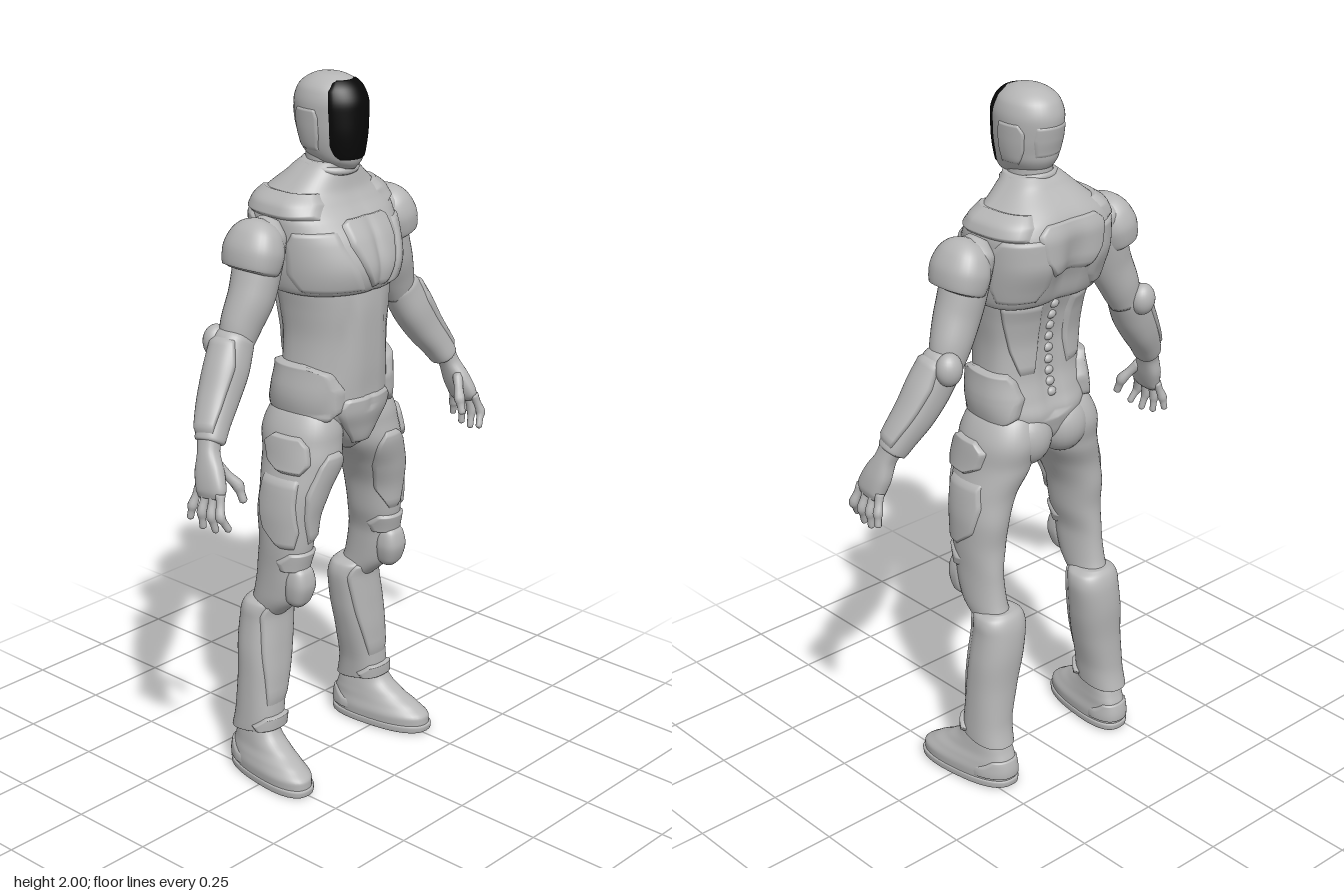
import * as THREE from 'three';

const armour = new THREE.MeshStandardMaterial({ color: 0xb6b6b6 });
armour.name = 'greyArmour';
const glass = new THREE.MeshStandardMaterial({ color: 0x080808 });
glass.name = 'blackVisor';

const rad = THREE.MathUtils.degToRad;
const bump = (v, w) => Math.exp(-(v * v) / (w * w));

// Smooth interpolation through the rows of a table without overshoot
function sample(rows, t) {
  const last = rows.length - 1;
  const i = Math.min(Math.floor(t), last - 1), f = t - i;
  const slope = (j, k) => {
    if (j === 0) return rows[1][k] - rows[0][k];
    if (j === last) return rows[last][k] - rows[last - 1][k];
    const a = rows[j][k] - rows[j - 1][k], b = rows[j + 1][k] - rows[j][k];
    return a * b <= 0 ? 0 : (2 * a * b) / (a + b);
  };
  return rows[0].map((_, k) => {
    const p = rows[i][k], q = rows[i + 1][k], f2 = f * f, f3 = f2 * f;
    return p * (2 * f3 - 3 * f2 + 1) + slope(i, k) * (f3 - 2 * f2 + f) + q * (3 * f2 - 2 * f3) + slope(i + 1, k) * (f3 - f2);
  });
}

// Surface through sections [x, y, z, half width, front depth, back depth], listed bottom to top.
// Angle 0 is the outer side (+x), 90 the front, 270 the back.
function surface(rows, { level = true, nf = 2, nb = 2, mod } = {}) {
  const S = (t, a) => {
    const [x, y, z, w, df, db] = sample(rows, t);
    const c = Math.cos(a), s = Math.sin(a), e = 2 / (s > 0 ? nf : nb);
    const u = w * Math.sign(c) * Math.abs(c) ** e;
    const v = (s > 0 ? df : db) * Math.sign(s) * Math.abs(s) ** e;
    const T = new THREE.Vector3(0, 1, 0);
    if (!level) {
      const p = sample(rows, Math.max(0, t - 0.3)), q = sample(rows, Math.min(rows.length - 1, t + 0.3));
      T.set(q[0] - p[0], q[1] - p[1], q[2] - p[2]).normalize();
    }
    const U = T.clone().cross(new THREE.Vector3(0, 0, 1)).normalize();
    const V = U.clone().cross(T);
    const P = new THREE.Vector3(x, y, z).addScaledVector(U, u).addScaledVector(V, v);
    if (mod) mod(P);
    return P;
  };
  S.top = rows.length - 1;
  return S;
}

function toGeometry(points, index) {
  const g = new THREE.BufferGeometry().setFromPoints(points);
  g.setIndex(index);
  g.computeVertexNormals();
  return g;
}

// Closed body over a whole surface
function body(S, sides = 40, steps = 6) {
  const rows = S.top * steps, pts = [], idx = [];
  for (let i = 0; i <= rows; i++)
    for (let j = 0; j < sides; j++) pts.push(S(i / steps, (j / sides) * Math.PI * 2));
  for (let i = 0; i < rows; i++)
    for (let j = 0; j < sides; j++) {
      const a = i * sides + j, b = i * sides + ((j + 1) % sides);
      idx.push(a, a + sides, b, a + sides, b + sides, b);
    }
  for (const [row, up] of [[0, false], [rows, true]]) {
    const c = new THREE.Vector3(), k = row * sides;
    for (let j = 0; j < sides; j++) c.addScaledVector(pts[k + j], 1 / sides);
    const n = pts.push(c) - 1;
    for (let j = 0; j < sides; j++) {
      const a = k + j, b = k + ((j + 1) % sides);
      up ? idx.push(a, n, b) : idx.push(a, b, n);
    }
  }
  return toGeometry(pts, idx);
}

// Raised plate following a surface; outline rows are [t, start angle, end angle]
function plate(S, rows, h, N = 22) {
  const pts = [], idx = [], d = 0.02;
  for (let i = 0; i <= N; i++)
    for (let j = 0; j <= N; j++) {
      const s = i / N, q = j / N, r = s * (rows.length - 1);
      const k = Math.min(Math.floor(r), rows.length - 2), f = r - k;
      const [t, a0, a1] = rows[k].map((v, m) => v + (rows[k + 1][m] - v) * f);
      const a = rad(a0 + (a1 - a0) * q);
      const up = S(Math.min(S.top, t + d), a).sub(S(Math.max(0, t - d), a));
      const n = up.cross(S(t, a + d).sub(S(t, a - d))).normalize();
      const edge = Math.min(1, Math.min(s, 1 - s, q, 1 - q) * 11);
      pts.push(S(t, a).addScaledVector(n, -0.003 + (h + 0.003) * edge));
    }
  for (let i = 0; i < N; i++)
    for (let j = 0; j < N; j++) {
      const a = i * (N + 1) + j, b = a + N + 1;
      idx.push(a, b, a + 1, b, b + 1, a + 1);
    }
  return toGeometry(pts, idx);
}

const ball = (x, y, z, rx, ry, rz) => new THREE.SphereGeometry(1, 24, 16).scale(rx, ry, rz).translate(x, y, z);

export function createModel() {
  const model = new THREE.Group();
  model.name = 'armouredFigure';
  const add = (name, geo, mat = armour) => {
    const m = new THREE.Mesh(geo, mat);
    m.name = name;
    model.add(m);
  };
  const pair = (name, geo) => {
    add(name + 'Left', geo);
    const g = geo.clone().scale(-1, 1, 1), ix = g.index.array;
    for (let i = 0; i < ix.length; i += 3) [ix[i], ix[i + 1]] = [ix[i + 1], ix[i]];
    add(name + 'Right', g);
  };

  // Abdomen and pelvis, with belly line and spine groove
  const waist = surface([
    [0, 0.965, 0.03, 0.02, 0.05, 0.05], [0, 1.0, 0.02, 0.06, 0.1, 0.1], [0, 1.05, 0.01, 0.115, 0.125, 0.12],
    [0, 1.1, 0, 0.155, 0.148, 0.12], [0, 1.15, 0, 0.162, 0.15, 0.105], [0, 1.22, 0, 0.153, 0.155, 0.09],
    [0, 1.3, 0, 0.148, 0.158, 0.088], [0, 1.38, 0, 0.155, 0.16, 0.1], [0, 1.46, 0, 0.165, 0.155, 0.125],
    [0, 1.52, 0, 0.16, 0.14, 0.13]], { nf: 2.1, nb: 2.5, mod: (p) => {
    if (p.y < 1.1) return;
    if (p.z > 0) p.z -= 0.005 * bump(p.x, 0.012) + 0.006 * bump(Math.abs(p.x) - 0.085 + (p.y - 1.3) * 0.2, 0.016);
    else p.z += 0.014 * bump(p.x, 0.025);
  } });
  add('abdomen', body(waist));
  pair('hipPad', plate(waist, [[2.6, 10, 40], [3.1, -45, 60], [4.2, -60, 62], [4.9, -50, 48], [5.2, -35, 15]], 0.02));
  add('pelvisPlate', plate(waist, [[0.7, 60, 120], [2, 52, 128], [3.2, 48, 132], [3.8, 62, 118]], 0.008));
  for (let i = 0; i < 9; i++) {
    const p = waist(4.1 + i * 0.42, rad(270));
    add('vertebra' + (i + 1), ball(0, p.y, p.z, 0.016, 0.013, 0.012));
  }
  pair('lowerBackPlate', plate(waist, [[5, -72, -55], [6, -78, -35], [7, -80, -25], [7.8, -78, -20]], 0.008));

  // Chest shell with pectoral and shoulder blade relief
  const chest = surface([
    [0, 1.425, 0, 0.15, 0.13, 0.1], [0, 1.44, 0, 0.18, 0.168, 0.13], [0, 1.5, 0, 0.193, 0.185, 0.158],
    [0, 1.57, 0, 0.198, 0.165, 0.182], [0, 1.625, 0, 0.2, 0.13, 0.182], [0, 1.665, -0.005, 0.19, 0.1, 0.165],
    [0, 1.7, -0.01, 0.145, 0.085, 0.135], [0, 1.745, -0.01, 0.095, 0.075, 0.085], [0, 1.77, 0, 0.068, 0.065, 0.07]],
  { nf: 2.1, nb: 3, mod: (p) => {
    const fade = bump(p.y - 1.53, 0.11);
    if (p.z > 0) p.z -= 0.012 * bump(p.x, 0.018) * fade;
    else p.z += 0.026 * bump(p.x, 0.04) * fade;
  } });
  add('chest', body(chest, 56));
  add('breastplate', plate(chest, [[1.15, 85, 95], [1.9, 75, 105], [3, 65, 115], [3.9, 64, 116], [4.2, 72, 108]], 0.009));
  pair('pectoralPlate', plate(chest, [[1.05, 18, 80], [1.9, 3, 72], [3, 5, 62], [3.7, 15, 60]], 0.006));
  pair('shoulderBladePlate', plate(chest, [[1.3, -68, -20], [2, -80, -8], [3.5, -80, -10], [4.4, -76, -25]], 0.006));
  add('upperBackPlate', plate(chest, [[2.3, 262, 278], [3.2, 246, 294], [4.6, 242, 298], [5.3, 252, 288]], 0.008));
  pair('shoulderYoke', plate(chest, [[4.3, -55, 50], [5.2, -62, 60], [6, -55, 50]], 0.009));

  // Neck and collar
  add('neck', body(surface([[0, 1.68, -0.01, 0.07, 0.08, 0.08], [0, 1.75, 0, 0.06, 0.06, 0.07], [0, 1.83, 0, 0.058, 0.05, 0.07]])));
  const collar = new THREE.TorusGeometry(0.068, 0.011, 10, 40).rotateX(Math.PI / 2 + 0.15).translate(0, 1.755, 0);
  add('collar', collar);

  // Helmet and visor
  const head = surface([
    [0, 1.752, 0.055, 0.022, 0.03, 0.04], [0, 1.775, 0.025, 0.056, 0.075, 0.085], [0, 1.82, 0, 0.077, 0.108, 0.086],
    [0, 1.87, 0, 0.084, 0.111, 0.097], [0, 1.92, 0, 0.086, 0.111, 0.104], [0, 1.96, 0, 0.077, 0.097, 0.092],
    [0, 1.985, 0, 0.054, 0.07, 0.064], [0, 1.997, 0, 0.028, 0.036, 0.034], [0, 2.0, 0, 0.006, 0.008, 0.008]]);
  add('helmet', body(head));
  add('visor', plate(head, [[1.05, 45, 135], [1.4, 30, 150], [2, 27, 153], [3, 28, 152], [4, 27, 153], [5, 27, 153],
    [5.8, 36, 144], [6.2, 55, 125]], 0.003, 35), glass);
  pair('earGuard', plate(head, [[1.5, -25, 12], [2.4, -38, 18], [3.4, -38, 18], [3.9, -25, 12]], 0.004));
  add('helmetBackPlate', plate(head, [[2, 235, 305], [3, 228, 312], [3.8, 232, 308]], 0.003));

  // Arms
  const upperArm = surface([
    [0.33, 1.31, -0.038, 0.045, 0.045, 0.045], [0.308, 1.37, -0.035, 0.058, 0.055, 0.055],
    [0.273, 1.45, -0.028, 0.064, 0.066, 0.062], [0.248, 1.53, -0.028, 0.062, 0.07, 0.068],
    [0.222, 1.6, -0.028, 0.052, 0.065, 0.068], [0.2, 1.635, -0.028, 0.025, 0.03, 0.03]], { level: false });
  pair('upperArm', body(upperArm, 32));
  const pauldron = surface([
    [0.28, 1.508, -0.027, 0.045, 0.06, 0.06], [0.277, 1.516, -0.027, 0.062, 0.08, 0.082],
    [0.266, 1.56, -0.027, 0.069, 0.087, 0.088], [0.253, 1.605, -0.027, 0.058, 0.074, 0.074],
    [0.244, 1.634, -0.027, 0.034, 0.045, 0.045], [0.24, 1.645, -0.027, 0.008, 0.01, 0.01]], { level: false, nf: 2.3, nb: 2.3 });
  pair('pauldron', body(pauldron, 32));
  const forearm = surface([
    [0.48, 1.095, 0.012, 0.028, 0.03, 0.03], [0.477, 1.1, 0.011, 0.037, 0.041, 0.038], [0.452, 1.14, 0, 0.043, 0.045, 0.044],
    [0.41, 1.2, -0.015, 0.052, 0.05, 0.05], [0.37, 1.265, -0.025, 0.058, 0.053, 0.053],
    [0.335, 1.33, -0.035, 0.053, 0.052, 0.052], [0.318, 1.36, -0.035, 0.03, 0.035, 0.035]], { level: false, nf: 2.3, nb: 2.3 });
  pair('forearm', body(forearm, 32));
  pair('forearmPlate', plate(forearm, [[1.3, -35, 45], [2.5, -50, 60], [4, -60, 70], [5, -40, 45]], 0.008));
  pair('elbowPad', ball(0.355, 1.325, -0.082, 0.038, 0.046, 0.034));

  // Hands: palm, four fingers and a thumb
  pair('palm', body(surface([
    [0.522, 0.965, 0.055, 0.015, 0.038, 0.038], [0.517, 0.985, 0.052, 0.023, 0.05, 0.046], [0.505, 1.03, 0.036, 0.027, 0.045, 0.043],
    [0.49, 1.08, 0.02, 0.026, 0.03, 0.03], [0.475, 1.115, 0.01, 0.03, 0.033, 0.033]], { level: false, nf: 2.5, nb: 2.5 }), 24));
  const digit = (name, tip, mid, root, r) => {
    const at = (a, b, f, k) => [...a.map((v, i) => v + (b[i] - v) * f), r * k, r * k, r * k];
    pair(name, body(surface([at(tip, mid, 0, 0.3), at(tip, mid, 0.12, 0.75), at(tip, mid, 0.6, 0.8), at(mid, root, 0, 1.12),
      at(mid, root, 0.5, 0.9), at(mid, root, 1, 1.1)], { level: false }), 12, 3));
  };
  for (let i = 0; i < 4; i++) {
    const z = 0.092 - i * 0.026, reach = [0.012, 0, 0.003, 0.022][i];
    digit('finger' + (i + 1), [0.515 + i * 0.009, 0.875 + reach, z + 0.026 - i * 0.014], [0.537, 0.925 + reach / 2, z + 0.014 - i * 0.008],
      [0.521, 0.985, z], 0.0125);
  }
  digit('thumb', [0.45, 0.945, 0.108], [0.455, 0.99, 0.092], [0.49, 1.045, 0.055], 0.0145);

  // Legs
  const thigh = surface([
    [0.185, 0.48, -0.075, 0.045, 0.05, 0.055], [0.19, 0.56, -0.02, 0.05, 0.07, 0.08], [0.19, 0.64, 0, 0.05, 0.072, 0.088],
    [0.183, 0.72, 0.003, 0.06, 0.085, 0.085], [0.178, 0.8, 0.005, 0.066, 0.09, 0.095], [0.158, 0.88, 0.01, 0.078, 0.1, 0.103],
    [0.125, 0.96, 0.01, 0.092, 0.115, 0.12], [0.112, 1.03, 0, 0.095, 0.12, 0.122], [0.1, 1.1, 0, 0.075, 0.1, 0.1],
    [0.09, 1.14, 0, 0.03, 0.04, 0.04]], { nf: 2.2, nb: 2.1 });
  pair('thigh', body(thigh));
  pair('thighPlate', plate(thigh, [[3.1, 88, 108], [4, 70, 150], [5, 55, 145], [6, 62, 120], [6.5, 80, 100]], 0.009));
  pair('outerThighPlate', plate(thigh, [[3, 20, 50], [3.7, -25, 62], [4.7, -40, 44], [5.6, -28, 38]], 0.008));
  pair('hipGuard', plate(thigh, [[5.7, 5, 35], [6.1, -22, 50], [6.8, -25, 48], [7.2, -5, 32]], 0.014));
  pair('buttock', ball(0.066, 1.035, -0.06, 0.076, 0.085, 0.07));
  pair('kneePad', body(surface([
    [0.192, 0.545, 0.052, 0.018, 0.02, 0.03], [0.192, 0.562, 0.052, 0.033, 0.035, 0.03], [0.19, 0.61, 0.055, 0.042, 0.046, 0.03],
    [0.19, 0.65, 0.055, 0.036, 0.038, 0.03], [0.19, 0.668, 0.055, 0.022, 0.02, 0.03]], { nf: 2.8 }), 28));
  pair('kneeCuff', plate(thigh, [[2.15, 20, 160], [2.5, 5, 175], [2.9, 40, 140]], 0.008));

  // Boots
  const boot = surface([
    [0.224, 0.14, -0.075, 0.045, 0.05, 0.055], [0.224, 0.143, -0.075, 0.06, 0.073, 0.08], [0.22, 0.2, -0.07, 0.061, 0.07, 0.072],
    [0.206, 0.3, -0.07, 0.069, 0.066, 0.07], [0.193, 0.4, -0.076, 0.076, 0.066, 0.07], [0.182, 0.49, -0.08, 0.076, 0.064, 0.062],
    [0.182, 0.525, -0.078, 0.068, 0.068, 0.052], [0.184, 0.54, -0.075, 0.045, 0.06, 0.04]],
  { nf: 2.5, nb: 2.2, mod: (p) => { if (p.y < 0.2) p.y -= (0.2 - p.y) * 0.25 * Math.sin((p.z + 0.07) * -12); } });
  pair('boot', body(boot));
  pair('shinPlate', plate(boot, [[2.2, 60, 120], [3.5, 42, 138], [5, 30, 150], [6.4, 50, 130]], 0.006));
  pair('ankleGuard', plate(boot, [[1.1, 30, 150], [1.5, 15, 165], [1.9, 55, 125]], 0.012));
  const turnOut = (p) => { p.x += 0.13 * p.z; };
  pair('sole', body(surface([
    [0.238, 0, 0, 0.06, 0.14, 0.15], [0.238, 0.006, 0, 0.067, 0.153, 0.166], [0.238, 0.022, 0, 0.068, 0.155, 0.168],
    [0.238, 0.026, 0, 0.06, 0.145, 0.16]], { nf: 2.4, nb: 2.6, mod: turnOut }), 40, 3));
  const foot = surface([
    [0.238, 0.018, 0, 0.064, 0.149, 0.162], [0.238, 0.045, 0, 0.066, 0.148, 0.164], [0.238, 0.072, -0.03, 0.06, 0.145, 0.13],
    [0.236, 0.1, -0.06, 0.054, 0.125, 0.09], [0.236, 0.135, -0.07, 0.05, 0.085, 0.068], [0.232, 0.19, -0.07, 0.042, 0.055, 0.055]],
  { nf: 2.3, nb: 2.5, mod: turnOut });
  pair('foot', body(foot));
  pair('heelGuard', plate(foot, [[0.4, 200, 340], [1.5, 200, 340], [2.6, 225, 315]], 0.005));
  return model;
}
